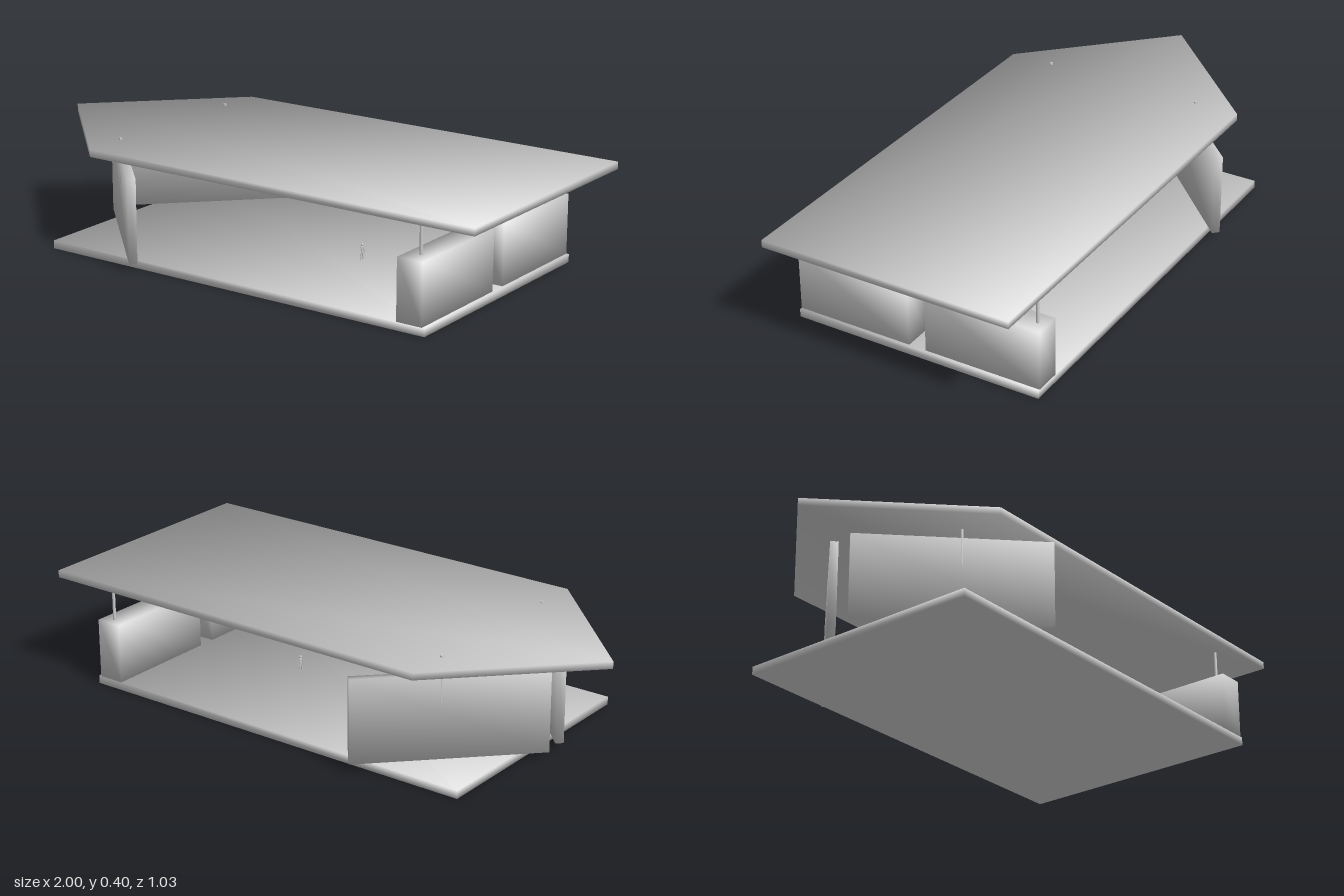
import * as THREE from 'three';

const grey = new THREE.MeshStandardMaterial({ color: 0xcccccc });
grey.name = 'pale grey';

// Convex slab from a plan outline [x, z], with soft normals shared at each corner
function slab(name, outline, y0, y1) {
  const n = outline.length;
  const pos = [], nor = [], idx = [];
  for (const [y, ny] of [[y0, -1], [y1, 1]]) {
    outline.forEach(([x, z], i) => {
      const [px, pz] = outline[(i + n - 1) % n];
      const [qx, qz] = outline[(i + 1) % n];
      const a = new THREE.Vector3(z - pz, 0, px - x).normalize();
      const b = new THREE.Vector3(qz - z, 0, x - qx).normalize();
      const v = a.add(b).add(new THREE.Vector3(0, ny, 0)).normalize();
      pos.push(x, y, z);
      nor.push(v.x, v.y, v.z);
    });
  }
  for (let i = 0; i < n; i++) {
    const j = (i + 1) % n;
    idx.push(i, n + j, j, i, n + i, n + j);
    if (i > 0 && i < n - 1) idx.push(0, i, j, n, n + j, n + i);
  }
  const g = new THREE.BufferGeometry();
  g.setAttribute('position', new THREE.Float32BufferAttribute(pos, 3));
  g.setAttribute('normal', new THREE.Float32BufferAttribute(nor, 3));
  g.setIndex(idx);
  const mesh = new THREE.Mesh(g, grey);
  mesh.name = name;
  return mesh;
}

// Plan rectangle about a centre, turned by an angle
function rect(cx, cz, w, d, angle = 0) {
  const c = Math.cos(angle), s = Math.sin(angle);
  return [[-1, -1], [1, -1], [1, 1], [-1, 1]].map(([i, k]) => {
    const x = i * w / 2, z = k * d / 2;
    return [cx + x * c - z * s, cz + x * s + z * c];
  });
}

// Round bar between two points
function bar(name, a, b, r, sides = 12) {
  const p = new THREE.Vector3(...a), q = new THREE.Vector3(...b);
  const d = q.clone().sub(p);
  const mesh = new THREE.Mesh(new THREE.CylinderGeometry(r, r, d.length(), sides), grey);
  mesh.position.copy(p).add(q).multiplyScalar(0.5);
  mesh.quaternion.setFromUnitVectors(new THREE.Vector3(0, 1, 0), d.normalize());
  mesh.name = name;
  return mesh;
}

// Small standing person for scale
function person() {
  const g = new THREE.Group();
  g.name = 'scaleFigure';
  const head = new THREE.Mesh(new THREE.SphereGeometry(0.0045, 10, 8), grey);
  head.name = 'head';
  head.scale.y = 1.2;
  head.position.y = 0.053;
  const torso = new THREE.Mesh(new THREE.CylinderGeometry(0.0075, 0.0055, 0.021, 10), grey);
  torso.name = 'torso';
  torso.scale.x = 0.6;
  torso.position.y = 0.0365;
  g.add(head, torso);
  for (const s of [-1, 1]) {
    g.add(
      bar('leg', [0, 0.028, s * 0.003], [0, 0, s * 0.007], 0.0025, 8),
      bar('upperArm', [0, 0.045, s * 0.007], [0, 0.034, s * 0.011], 0.0018, 8),
      bar('forearm', [0, 0.034, s * 0.011], [0.002, 0.023, s * 0.014], 0.0015, 8)
    );
  }
  g.position.set(0.28, 0.029, 0.004);
  return g;
}

export function createModel() {
  const model = new THREE.Group();
  model.name = 'pavilion';

  // Floor and pointed roof
  model.add(slab('floor', rect(0.053, 0, 1.546, 0.924), 0, 0.029));
  model.add(slab('roof', [[-1, 0], [-0.54, -0.462], [1, -0.462], [1, 0.462], [-0.54, 0.462]], 0.363, 0.389));

  for (const s of [1, -1]) {
    // Diagonal walls beneath the point of the roof, each carrying a post
    model.add(slab('diagonalWall', rect(-0.555, s * 0.27, 0.665, 0.028, s * Math.PI / 4), 0.029, 0.33));
    model.add(bar('wallPost', [-0.54, 0.23, s * 0.298], [-0.54, 0.395, s * 0.298], 0.0055));

    // Thick end blocks, each carrying a short post
    model.add(slab('endBlock', rect(0.768, s * 0.247, 0.096, 0.43), 0.029, 0.245));
    const z = s > 0 ? 0.4 : -0.428;
    model.add(bar('blockPost', [0.77, 0.24, z], [0.77, 0.365, z], 0.0055));
  }

  model.add(person());
  return model;
}
